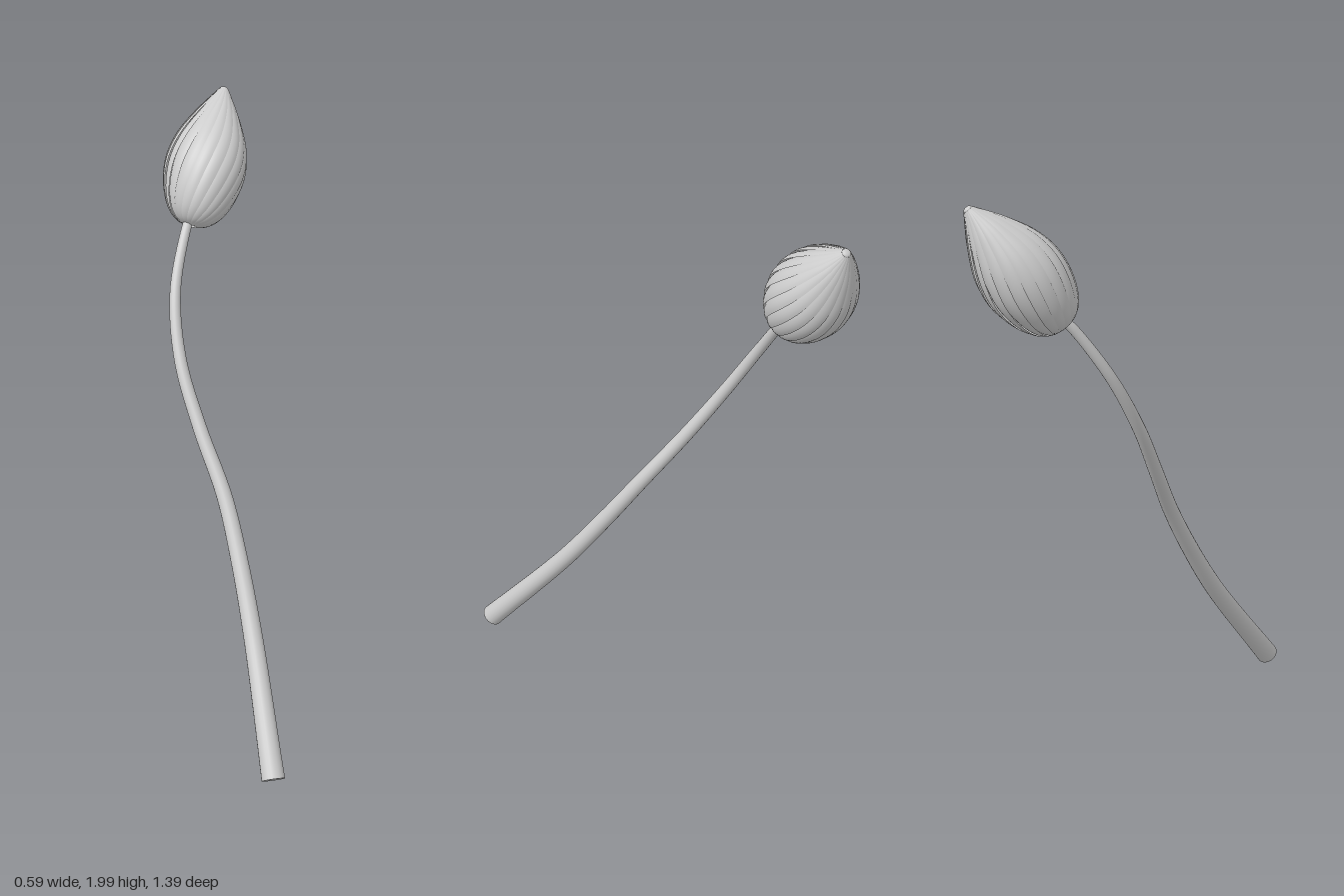
import * as THREE from 'three';

const V = (x, y, z) => new THREE.Vector3(x, y, z);
const grey = new THREE.MeshStandardMaterial({ color: 0xcccccc, side: THREE.DoubleSide });

// Tapered tube along a bent path, with a cap on its cut lower end
function createStem() {
  const group = new THREE.Group();
  group.name = 'stem';
  const path = new THREE.CatmullRomCurve3([
    V(0.255, 0.03, 0.665), V(0.145, 0.4, 0.37), V(0.075, 0.62, 0.222), V(0.008, 0.8, 0.112),
    V(-0.095, 1.0, -0.003), V(-0.178, 1.2, -0.113), V(-0.213, 1.4, -0.232), V(-0.195, 1.58, -0.36),
    V(-0.185, 1.62, -0.4),
  ]);
  const rings = 60, sides = 20;
  const tube = new THREE.TubeGeometry(path, rings, 1, sides);
  const pos = tube.attributes.position, p = V(0, 0, 0);
  for (let i = 0; i < pos.count; i++) {
    const t = Math.floor(i / (sides + 1)) / rings;
    const c = path.getPointAt(t);
    const r = 0.04 - 0.0235 * Math.pow(t, 0.85);
    p.fromBufferAttribute(pos, i).sub(c).multiplyScalar(r).add(c);
    pos.setXYZ(i, p.x, p.y, p.z);
  }
  const stalk = new THREE.Mesh(tube, grey);
  stalk.name = 'stalk';
  const cap = new THREE.Mesh(new THREE.CircleGeometry(0.04, sides), grey);
  cap.name = 'cutEnd';
  cap.position.copy(path.getPointAt(0));
  cap.quaternion.setFromUnitVectors(V(0, 0, 1), path.getTangentAt(0).negate());
  group.add(stalk, cap);
  return group;
}

// Closed bud: narrow petals overlapping like a pinwheel and twisting up to the tip
function createBud() {
  const group = new THREE.Group();
  group.name = 'bud';
  const base = V(-0.18, 1.585, -0.382), tip = V(-0.107, 1.988, -0.677);
  const axis = tip.clone().sub(base), length = axis.length();
  const profile = new THREE.CatmullRomCurve3([
    [0, 0.02], [0.03, 0.06], [0.1, 0.096], [0.24, 0.128], [0.42, 0.142],
    [0.6, 0.127], [0.8, 0.08], [0.94, 0.036], [1, 0.016],
  ].map(([t, r]) => V(r, t * length, 0)));

  const petals = 20, rows = 36, cols = 8, spacing = Math.PI * 2 / petals;
  const petal = new THREE.PlaneGeometry(1, 1, cols, rows);
  const pos = petal.attributes.position, uv = petal.attributes.uv;
  for (let i = 0; i < pos.count; i++) {
    const u = uv.getX(i), t = uv.getY(i);
    const q = profile.getPoint(t);
    const angle = 1.15 * t + 1.7 * spacing * (u - 0.5);
    // One edge tucks under the neighbour, the other bulges out and rolls in
    const lift = 0.87 + 0.14 * Math.sin(u * Math.PI * 0.62);
    const r = q.x * lift;
    pos.setXYZ(i, r * Math.sin(angle), q.y, r * Math.cos(angle));
  }
  petal.computeVertexNormals();
  for (let i = 0; i < petals; i++) {
    const mesh = new THREE.Mesh(petal, grey);
    mesh.name = 'petal' + (i + 1);
    mesh.rotation.y = i * spacing;
    group.add(mesh);
  }

  // Small blunt tip closing the petals
  const point = new THREE.Mesh(new THREE.SphereGeometry(0.015, 16, 8), grey);
  point.name = 'budTip';
  point.scale.y = 0.5;
  point.position.y = length;
  group.add(point);

  group.position.copy(base);
  group.quaternion.setFromUnitVectors(V(0, 1, 0), axis.normalize());
  return group;
}

export function createModel() {
  const model = new THREE.Group();
  model.name = 'flowerBud';
  model.add(createStem(), createBud());
  return model;
}
